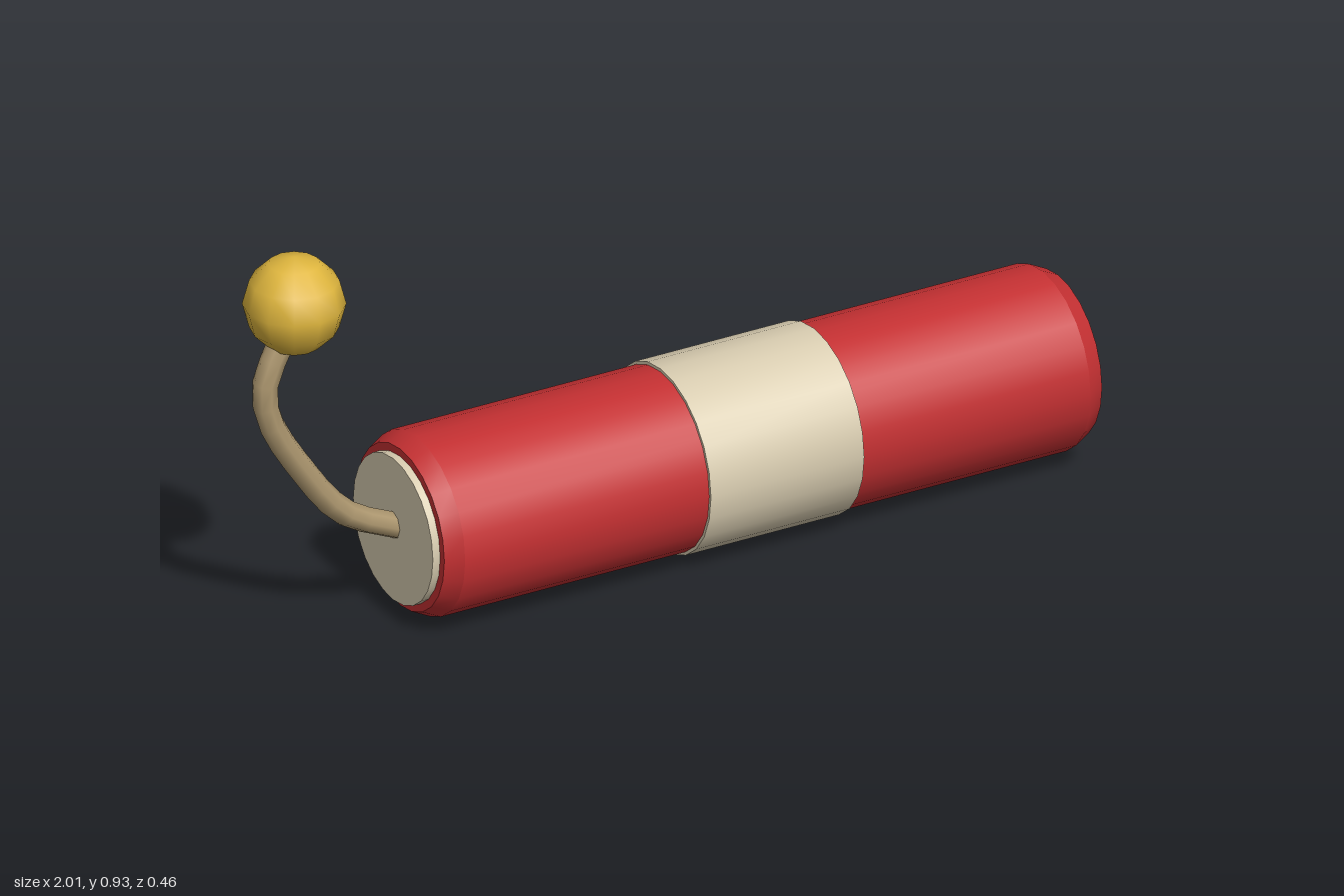
import * as THREE from 'three';
import { toCreasedNormals } from 'three/addons/utils/BufferGeometryUtils.js';

const AXIS_Y = 0.217, AXIS_Z = 0.017;

const paint = (name, color) => {
  const m = new THREE.MeshStandardMaterial({ color });
  m.name = name;
  return m;
};

export function createModel() {
  const red = paint('red casing', 0xc43032);
  const cream = paint('cream paper', 0xd8ccb0);
  const tan = paint('tan cord', 0xad976f);
  const gold = paint('gold', 0xdfb63e);
  const black = paint('black', 0x25272d);

  const model = new THREE.Group();
  const add = (parent, name, geometry, material, x = 0, y = 0, z = 0) => {
    const mesh = new THREE.Mesh(geometry, material);
    mesh.name = name;
    mesh.position.set(x, y, z);
    parent.add(mesh);
    return mesh;
  };

  // Solid turned around the x axis from [x, radius] pairs, with sharp rims
  const turned = (name, profile, material) => {
    const lathe = new THREE.LatheGeometry(profile.map(([x, r]) => new THREE.Vector2(r, x)), 24);
    const geometry = toCreasedNormals(lathe, 0.35).rotateZ(-Math.PI / 2);
    return add(model, name, geometry, material, 0, AXIS_Y, AXIS_Z);
  };

  // Casing with bevelled ends, paper band and end plug
  turned('casing', [[-0.63, 0], [-0.63, 0.188], [-0.59, 0.208], [0.96, 0.208], [1, 0.188], [1, 0]], red);
  turned('band', [[0.015, 0.2], [0.015, 0.215], [0.395, 0.215], [0.395, 0.2]], cream);
  turned('endPlug', [[-0.648, 0], [-0.648, 0.17], [-0.62, 0.17]], cream);

  // Curved fuse with a ball on its tip
  const path = new THREE.CatmullRomCurve3(
    [[-0.62, 0.215], [-0.77, 0.29], [-0.875, 0.42], [-0.955, 0.56], [-0.966, 0.64], [-0.93, 0.73], [-0.895, 0.79]]
      .map(([x, y]) => new THREE.Vector3(x, y, AXIS_Z)));
  add(model, 'fuse', new THREE.TubeGeometry(path, 14, 0.029, 8), tan);
  add(model, 'fuseBall', new THREE.SphereGeometry(0.112, 12, 6), gold, -0.893, 0.823, AXIS_Z);

  // Warning sign on the back of the band, leaning with its top inward
  const sign = new THREE.Group();
  sign.name = 'warningSign';
  sign.position.set(0.203, 0.237, -0.185);
  sign.rotation.set(-0.09, Math.PI, 0, 'YXZ');
  model.add(sign);

  const plate = (points, depth) => new THREE.ExtrudeGeometry(
    new THREE.Shape(points.map(([x, y]) => new THREE.Vector2(x, y))),
    { depth, bevelEnabled: false });

  add(sign, 'signBorder', plate([[-0.115, -0.096], [0.115, -0.096], [0, 0.098]], 0.02), black, 0, 0, -0.015);
  add(sign, 'signFace', plate([[-0.087, -0.08], [0.087, -0.08], [0, 0.08]], 0.017), gold, 0, 0, 0.004);
  add(sign, 'signPatch', plate([[0.005, -0.076], [0.074, -0.076], [0.034, -0.005]], 0.002), cream, 0, 0, 0.02);
  add(sign, 'exclamationBar', plate([[-0.008, -0.03], [0.008, -0.03], [0.014, 0.024], [-0.014, 0.024]], 0.025), black, 0, 0, 0.018);
  add(sign, 'exclamationDot', new THREE.BoxGeometry(0.018, 0.013, 0.025), black, 0, -0.045, 0.03);

  return model;
}
